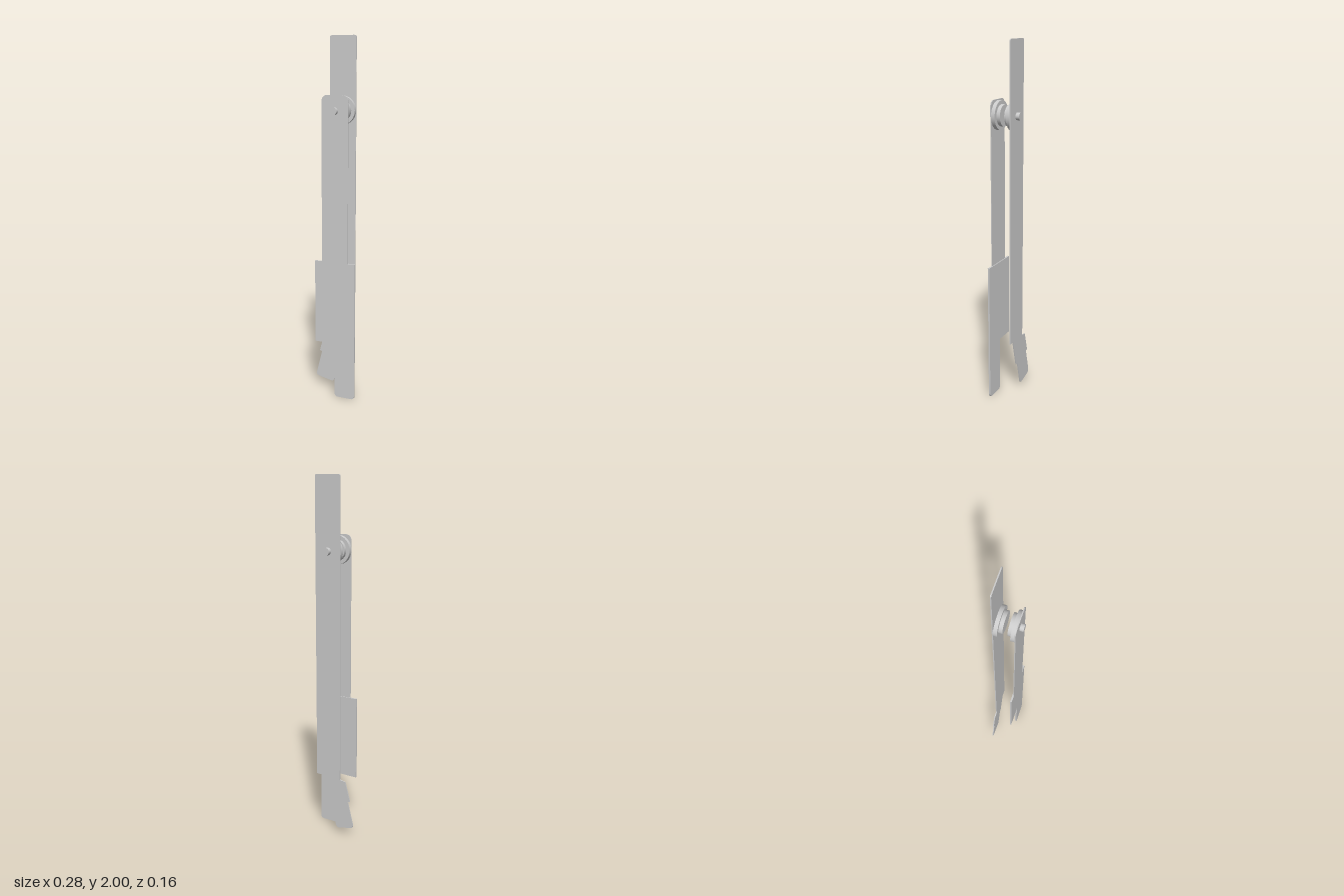
import * as THREE from 'three';

const material = new THREE.MeshStandardMaterial({ color: 0xcccccc, side: THREE.DoubleSide });
const PIVOT = { x: 0.02, y: 1.61 };

// Flat plate from corners [x, y, radius], corners rounded where a radius is given
function plate(name, corners, z0, z1) {
  const shape = new THREE.Shape();
  const n = corners.length;
  corners.forEach(([x, y, r = 0], i) => {
    const p = new THREE.Vector2(x, y);
    const toward = ([a, b]) => new THREE.Vector2(a, b).sub(p).setLength(r).add(p);
    const a = toward(corners[(i + n - 1) % n]);
    const b = toward(corners[(i + 1) % n]);
    if (i === 0) shape.moveTo(a.x, a.y);
    else shape.lineTo(a.x, a.y);
    if (r > 0) shape.quadraticCurveTo(x, y, b.x, b.y);
  });
  shape.closePath();
  const geometry = new THREE.ExtrudeGeometry(shape, { depth: z1 - z0, bevelEnabled: false, curveSegments: 6 });
  geometry.translate(0, 0, z0);
  const mesh = new THREE.Mesh(geometry, material);
  mesh.name = name;
  return mesh;
}

// Round part on the pivot axis between two depths
function disc(name, radius, z0, z1) {
  const geometry = new THREE.CylinderGeometry(radius, radius, Math.abs(z1 - z0), 40);
  geometry.rotateX(Math.PI / 2);
  const mesh = new THREE.Mesh(geometry, material);
  mesh.position.set(PIVOT.x, PIVOT.y, (z0 + z1) / 2);
  mesh.name = name;
  return mesh;
}

export function createModel() {
  const group = new THREE.Group();
  group.name = 'pivotedArms';

  // Front arm: narrow strip, then a wider thicker panel with one leg
  group.add(plate('frontStrip', [
    [-0.055, 0.79], [0.097, 0.79], [0.097, 1.693, 0.035], [-0.055, 1.693, 0.035],
  ], 0.052, 0.057));
  group.add(plate('frontPanel', [
    [-0.097, 0.318], [0.02, 0.318], [0.02, 0, 0.02], [0.139, 0, 0.02],
    [0.139, 0.79], [-0.097, 0.79],
  ], 0.047, 0.057));

  // Back arm: long strip with a slanted stepped tail
  group.add(plate('backStrip', [
    [-0.055, 2, 0.012], [-0.055, 0.335], [-0.09, 0.328], [-0.121, 0.215], [-0.107, 0.211],
    [-0.145, 0.058, 0.02], [-0.034, 0.033, 0.02], [0.003, 0.182], [0.02, 0.178],
    [0.061, 0.34], [0.097, 0.34], [0.097, 2, 0.012],
  ], -0.06, -0.054));

  // Stepped hub and protruding pin on each arm
  for (const [side, s, shift] of [['front', 1, 0], ['back', -1, 0.003]]) {
    const at = (z) => s * (z + shift);
    group.add(disc(side + 'HubFlange', 0.078, at(0.031), at(0.052)));
    group.add(disc(side + 'HubBoss', 0.058, at(0.011), at(0.031)));
    group.add(disc(side + 'Pin', 0.02, at(0.05), at(0.078)));
  }
  return group;
}
